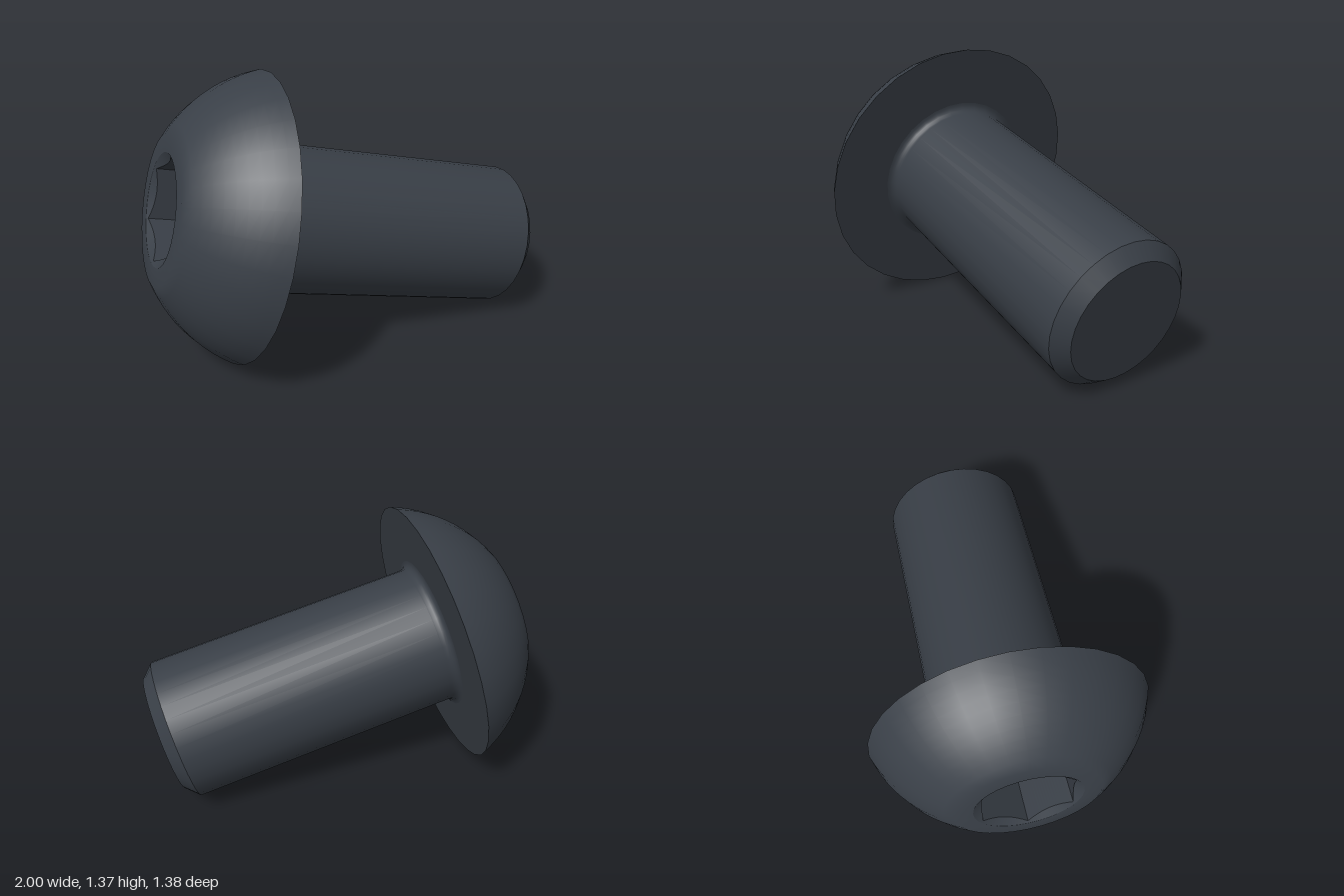
import * as THREE from 'three';

const steel = new THREE.MeshStandardMaterial({ color: 0x393f47 });
steel.name = 'dark steel';

const TOP = 0.4, FLAT = 0.357, RIM = 0.705, SHAFT = 0.368, END = -1.494;
const CHAMFER = 0.065, FILLET = 0.04, SOCKET = 0.268, APOTHEM = 0.222, FLOOR = 0.17;

// Turned surface about the bolt axis, profile listed as [radius, height]
function turned(name, profile, segments = 32) {
  const points = profile.map(([r, y]) => new THREE.Vector2(r, y));
  const mesh = new THREE.Mesh(new THREE.LatheGeometry(points, segments), steel);
  mesh.name = name;
  return mesh;
}

// Hexagonal recess with a small round countersink at its mouth
function hexSocket() {
  const mesh = turned('hexSocket', [[SOCKET, TOP], [1, TOP], [1, FLOOR], [0, FLOOR]], 96);
  const pos = mesh.geometry.attributes.position;
  for (let i = 0; i < pos.count; i++) {
    const row = i % 4;
    if (row !== 1 && row !== 2) continue;
    const angle = Math.floor(i / 4) * Math.PI * 2 / 96;
    const r = APOTHEM / Math.cos((angle % (Math.PI / 3)) - Math.PI / 6);
    const y = row === 1 ? TOP - (SOCKET - r) * 0.6 : FLOOR;
    pos.setXYZ(i, Math.sin(angle) * r, y, Math.cos(angle) * r);
  }
  mesh.geometry = mesh.geometry.toNonIndexed();
  mesh.geometry.computeVertexNormals();
  return mesh;
}

export function createModel() {
  const bolt = new THREE.Group();
  bolt.name = 'buttonHeadBolt';

  // Domed head: spherical arc from the rim to the flat crown
  const drop = (RIM ** 2 - FLAT ** 2 - TOP ** 2) / (2 * TOP);
  const radius = Math.hypot(RIM, drop);
  const a0 = Math.atan2(drop, RIM), a1 = Math.atan2(TOP + drop, FLAT);
  const dome = [];
  for (let i = 0; i <= 10; i++) {
    const a = a0 + (a1 - a0) * i / 10;
    dome.push([radius * Math.cos(a), radius * Math.sin(a) - drop]);
  }
  dome.push([SOCKET, TOP]);
  bolt.add(turned('headDome', dome));
  bolt.add(turned('headUnderside', [[SHAFT + FILLET, 0], [RIM, 0]]));
  bolt.add(hexSocket());

  // Shank with a fillet under the head
  const shank = [[SHAFT, END + CHAMFER], [SHAFT, -FILLET - 0.01]];
  for (let i = 0; i <= 5; i++) {
    const a = i / 5 * Math.PI / 2;
    shank.push([SHAFT + FILLET * (1 - Math.cos(a)), FILLET * (Math.sin(a) - 1)]);
  }
  bolt.add(turned('shank', shank));

  // Chamfered tip
  bolt.add(turned('tipChamfer', [[SHAFT - CHAMFER, END], [SHAFT, END + CHAMFER]]));
  bolt.add(turned('tipFace', [[0, END], [SHAFT - CHAMFER, END]]));

  // Tilt the bolt: head toward -x, tip down and forward
  const axis = new THREE.Vector3(-1, 0.242, -0.21).normalize();
  const up = new THREE.Vector3(0, 1, 0).addScaledVector(axis, -axis.y).normalize();
  const side = new THREE.Vector3().crossVectors(axis, up);
  bolt.quaternion.setFromRotationMatrix(new THREE.Matrix4().makeBasis(side, axis, up));
  bolt.position.set(-0.513, 0.688, 0.002);

  const model = new THREE.Group();
  model.name = 'model';
  model.add(bolt);
  return model;
}
